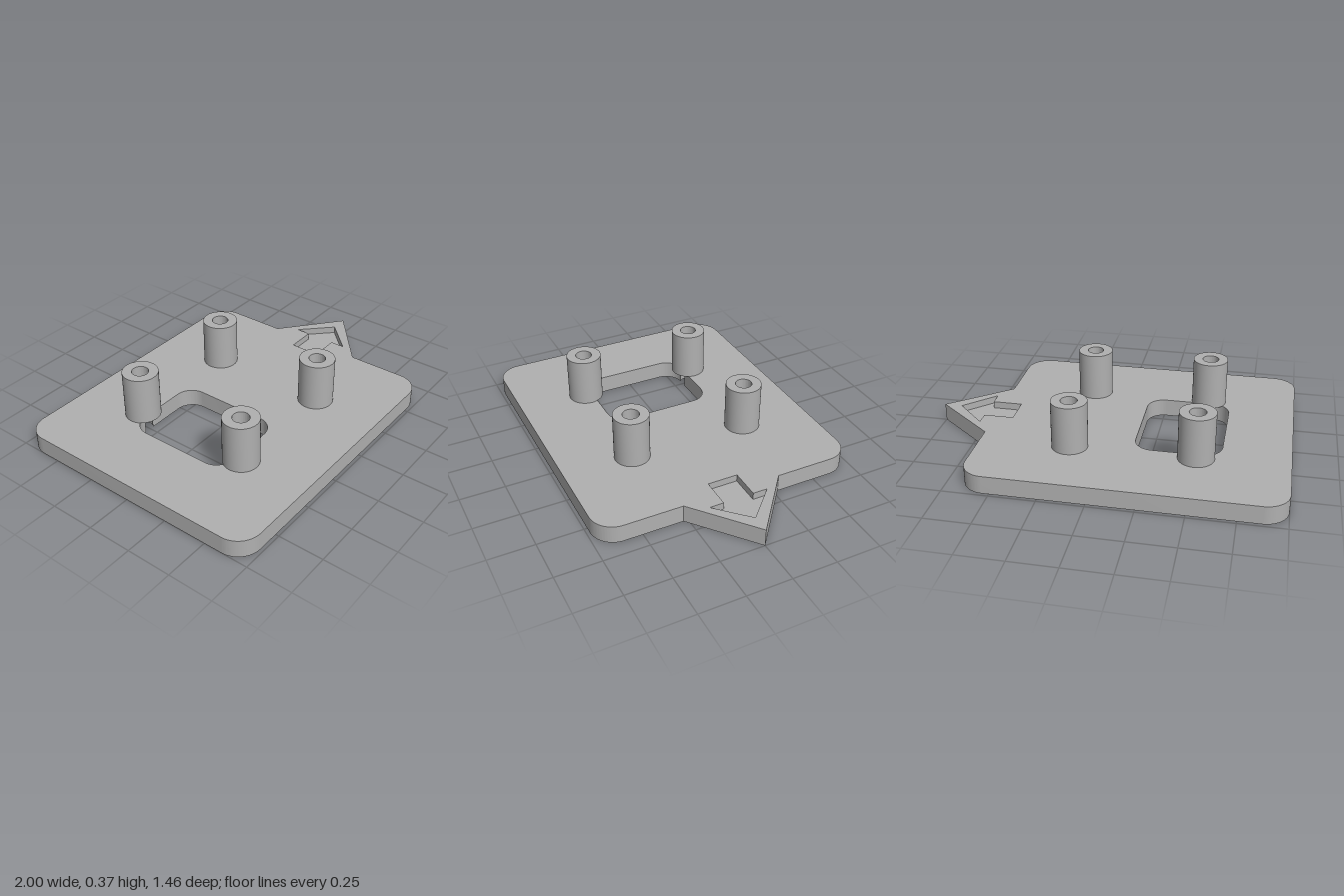
import * as THREE from 'three';
import { toCreasedNormals } from 'three/addons/utils/BufferGeometryUtils.js';

const PLATE_H = 0.1, POST_TOP = 0.37, RECESS_FLOOR = 0.06;
const POST_R = 0.098, BORE_R = 0.0455, POST_Z = 0.338;
const POST_X = [-0.506, 0.17];

// Extrude a flat outline upwards from y0 to y1
function slab(name, shape, y0, y1, material) {
  const geo = new THREE.ExtrudeGeometry(shape, { depth: y1 - y0, bevelEnabled: false, curveSegments: 24 });
  geo.rotateX(-Math.PI / 2);
  geo.translate(0, y0, 0);
  const mesh = new THREE.Mesh(toCreasedNormals(geo, 0.6), material);
  mesh.name = name;
  return mesh;
}

function circle(Type, x, y, r) {
  const c = new Type();
  c.absarc(x, y, r, 0, Math.PI * 2, false);
  return c;
}

// Square plate with rounded corners and a triangular pointer on +x
function plateOutline() {
  const l = -1, w = 0.665, d = 0.732, r = 0.13, q = Math.PI / 2;
  const s = new THREE.Shape();
  s.moveTo(l + r, -d);
  s.absarc(w - r, -d + r, r, -q, 0, false);
  s.lineTo(w, -0.277);
  s.lineTo(1, 0);
  s.lineTo(w, 0.277);
  s.absarc(w - r, d - r, r, 0, q, false);
  s.absarc(l + r, d - r, r, q, 2 * q, false);
  s.absarc(l + r, -d + r, r, 2 * q, 3 * q, false);
  s.closePath();
  return s;
}

// Rounded window whose long ends are notched by the two left bores
function windowOutline() {
  const l = -0.634, w = -0.164, d = 0.302, r = 0.1, q = Math.PI / 2;
  const a = Math.asin((POST_Z - d) / BORE_R);
  const p = new THREE.Path();
  p.absarc(l + r, -d + r, r, 2 * q, 3 * q, false);
  p.absarc(POST_X[0], -POST_Z, BORE_R, Math.PI - a, a + 2 * Math.PI, false);
  p.absarc(w - r, -d + r, r, -q, 0, false);
  p.absarc(w - r, d - r, r, 0, q, false);
  p.absarc(POST_X[0], POST_Z, BORE_R, -a, Math.PI + a, false);
  p.absarc(l + r, d - r, r, q, 2 * q, false);
  p.closePath();
  return p;
}

export function createModel() {
  const group = new THREE.Group();
  group.name = 'mountingPlate';
  const grey = new THREE.MeshStandardMaterial({ color: 0xb0b0b0 });
  grey.name = 'grey';

  // Direction arrow, used as a cut-out and as the floor of the recess
  const arrow = [[0.564, -0.085], [0.732, -0.085], [0.732, -0.166], [0.898, 0],
    [0.732, 0.166], [0.732, 0.085], [0.564, 0.085]].map(([x, y]) => new THREE.Vector2(x, y));

  // Base plate with window, bores and arrow
  const plate = plateOutline();
  plate.holes.push(windowOutline(), new THREE.Path(arrow).closePath());
  for (const side of [-1, 1]) plate.holes.push(circle(THREE.Path, POST_X[1], side * POST_Z, BORE_R));
  group.add(slab('basePlate', plate, 0, PLATE_H, grey));
  group.add(slab('arrowRecessFloor', new THREE.Shape(arrow), 0, RECESS_FLOOR, grey));

  // Four hollow standoff posts
  for (const x of POST_X) {
    for (const side of [-1, 1]) {
      const ring = circle(THREE.Shape, x, side * POST_Z, POST_R);
      ring.holes.push(circle(THREE.Path, x, side * POST_Z, BORE_R));
      group.add(slab('standoffPost', ring, PLATE_H, POST_TOP, grey));
    }
  }
  return group;
}
